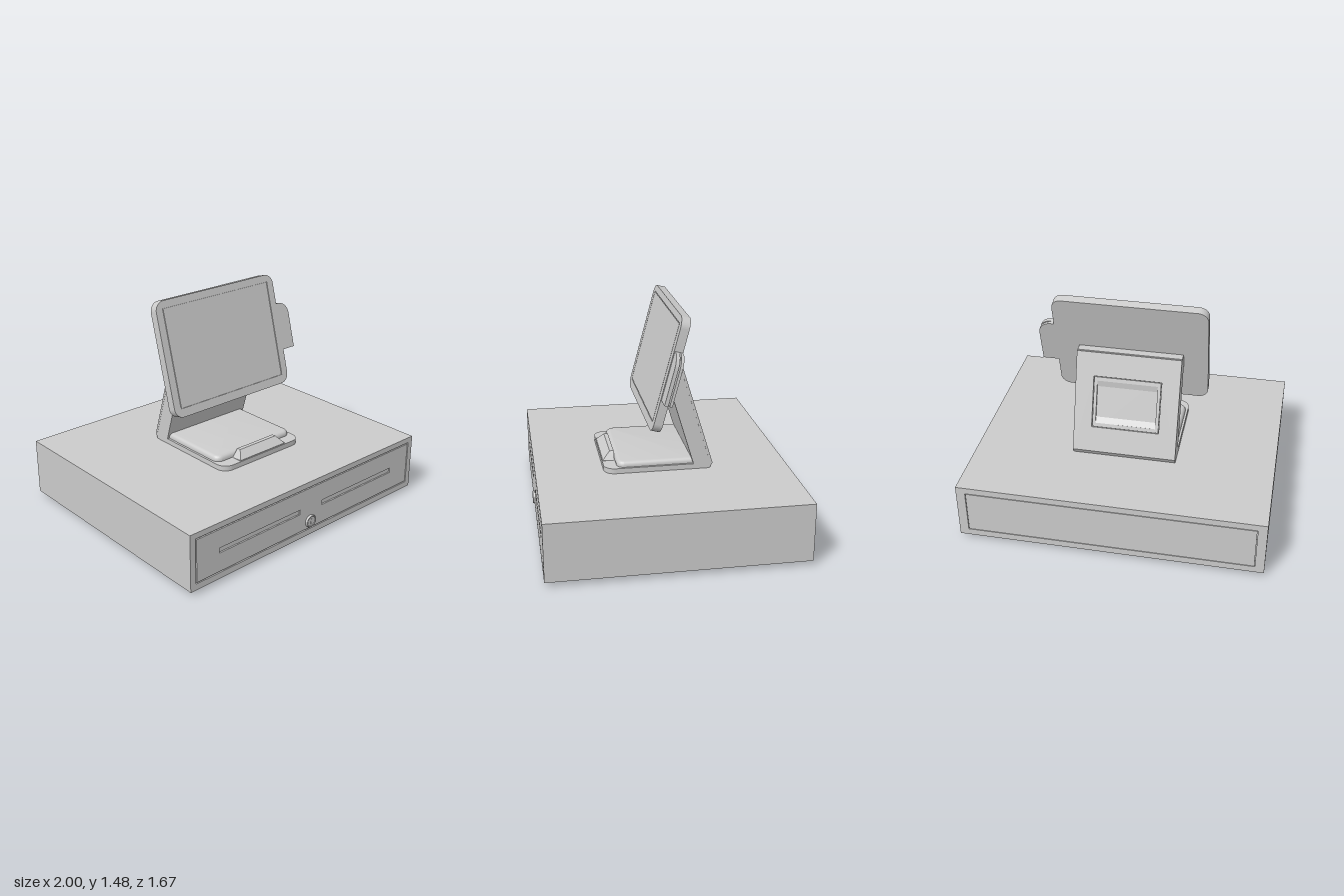
import * as THREE from 'three';
import { toCreasedNormals } from 'three/addons/utils/BufferGeometryUtils.js';

const grey = new THREE.MeshStandardMaterial({ color: 0xcccccc });

function add(parent, name, geometry, x = 0, y = 0, z = 0) {
  const mesh = new THREE.Mesh(geometry, grey);
  mesh.name = name;
  mesh.position.set(x, y, z);
  parent.add(mesh);
  return mesh;
}

// Rectangle outline with one radius per corner: bottom right, top right, top left, bottom left
function rect(x0, y0, x1, y1, radii = 0) {
  const [br, tr, tl, bl] = Array.isArray(radii) ? radii : [radii, radii, radii, radii];
  const s = new THREE.Shape();
  s.moveTo(x0 + bl, y0);
  s.lineTo(x1 - br, y0);
  if (br) s.absarc(x1 - br, y0 + br, br, -Math.PI / 2, 0);
  s.lineTo(x1, y1 - tr);
  if (tr) s.absarc(x1 - tr, y1 - tr, tr, 0, Math.PI / 2);
  s.lineTo(x0 + tl, y1);
  if (tl) s.absarc(x0 + tl, y1 - tl, tl, Math.PI / 2, Math.PI);
  s.lineTo(x0, y0 + bl);
  if (bl) s.absarc(x0 + bl, y0 + bl, bl, Math.PI, Math.PI * 1.5);
  return s;
}

function slab(shape, depth, holes = [], bevel = 0) {
  shape.holes.push(...holes);
  const g = new THREE.ExtrudeGeometry(shape, {
    depth: depth - bevel, curveSegments: 10, bevelEnabled: bevel > 0,
    bevelSize: bevel, bevelThickness: bevel, bevelOffset: -bevel, bevelSegments: 4,
  });
  return toCreasedNormals(g, 0.6);
}

// Side profile given as [z, y] points, extruded across x
function sideProfile(points, width) {
  const s = new THREE.Shape(points.map(([z, y]) => new THREE.Vector2(-z, y)));
  const g = new THREE.ExtrudeGeometry(s, { depth: width, bevelEnabled: false });
  return g.translate(0, 0, -width / 2).rotateY(Math.PI / 2);
}

function buildDrawer(root) {
  const drawer = new THREE.Group();
  drawer.name = 'cashDrawer';
  root.add(drawer);
  const d = 0.01;
  add(drawer, 'drawerBody', new THREE.BoxGeometry(2, 0.385, 1.64), 0, 0.2225, -0.005);

  // Front frame, drawer face and the two cheque slots
  add(drawer, 'frontFrame', slab(rect(-1, 0.03, 1, 0.415), d, [rect(-0.96, 0.072, 0.96, 0.377)]), 0, 0, 0.815);
  const slots = [-1, 1].map(s => rect(s * 0.4375 - 0.338, 0.208, s * 0.4375 + 0.338, 0.242));
  add(drawer, 'drawerFace', slab(rect(-0.952, 0.08, 0.952, 0.369), d, slots), 0, 0, 0.815);
  // Back frame and panel
  add(drawer, 'backFrame', slab(rect(-1, 0.03, 1, 0.415), d, [rect(-0.94, 0.075, 0.94, 0.372)]), 0, 0, -0.835);
  add(drawer, 'backPanel', slab(rect(-0.936, 0.079, 0.936, 0.368), d), 0, 0, -0.835);

  // Lock with a raised ring and a key bar
  const lock = new THREE.Group();
  lock.name = 'lock';
  lock.position.set(-0.005, 0.13, 0.825);
  drawer.add(lock);
  add(lock, 'lockBarrel', new THREE.CylinderGeometry(0.034, 0.036, 0.012, 28).rotateX(Math.PI / 2), 0, 0, 0.004);
  add(lock, 'lockRing', new THREE.LatheGeometry([
    [0.043, -0.002], [0.043, 0.01], [0.04, 0.014], [0.035, 0.014], [0.035, -0.002],
  ].map(p => new THREE.Vector2(...p)), 28).rotateX(Math.PI / 2));
  add(lock, 'keyBar', new THREE.BoxGeometry(0.008, 0.036, 0.005), 0, 0, 0.011);

  // Tapered feet
  for (const x of [-0.86, 0.84]) for (const z of [0.67, -0.68]) {
    add(drawer, 'foot', new THREE.CylinderGeometry(0.04, 0.028, 0.032, 16), x, 0.016, z);
  }
}

function buildStand(root) {
  const stand = new THREE.Group();
  stand.name = 'stand';
  root.add(stand);

  // Base plate, rounded at the front, with a soft-edged pad on top
  const base = slab(rect(-0.345, -0.38, 0.345, 0.3, [0.075, 0, 0, 0.075]), 0.035);
  add(stand, 'basePlate', base.rotateX(-Math.PI / 2), 0, 0.415, 0);
  const pad = slab(rect(-0.33, -0.295, 0.33, 0.25, [0.05, 0, 0, 0.05]), 0.045, [], 0.026);
  add(stand, 'basePad', pad.rotateX(-Math.PI / 2), 0, 0.441, 0);

  // Wedge at the front of the base, narrowing towards its top
  const wedge = sideProfile([[0.375, 0.449], [0.375, 0.455], [0.325, 0.503], [0.298, 0.503], [0.298, 0.449]], 0.4);
  const p = wedge.attributes.position;
  for (let i = 0; i < p.count; i++) {
    p.setX(i, p.getX(i) * (1 - 0.2 * Math.max(0, p.getY(i) - 0.455) / 0.048));
  }
  wedge.computeVertexNormals();
  add(stand, 'frontWedge', wedge);

  // Leaning column; its back skin holds a shallow recess
  const t = 0.015;
  add(stand, 'column', sideProfile([
    [-0.315, 0.415], [-0.21, 0.44], [-0.035, 1.02], [-0.062, 1.1],
    [-0.119, 1.1], [-0.319, 0.45], [-0.335, 0.45],
  ], 0.69));
  const back = new THREE.Group();
  back.name = 'columnBack';
  back.position.set(0, 0.45, -0.335);
  back.rotation.x = Math.atan2(0.2, 0.65);
  stand.add(back);
  add(back, 'backSkin', slab(rect(-0.345, 0, 0.345, 0.68), t, [rect(-0.225, 0.17, 0.225, 0.52)]));
  // Sloped ends and floor of the recess
  add(back, 'recessFloor', slab(rect(-0.221, 0.174, 0.221, 0.516), t - 0.001, [rect(-0.2, 0.2, 0.2, 0.49)]), 0, 0, 0.001);
  for (const s of [-1, 1]) {
    const ramp = sideProfile([[0.001, s * 0.147], [t, s * 0.147], [t, s * 0.105]].sort((a, b) => s * (a[0] - b[0])), 0.4);
    ramp.computeVertexNormals();
    add(back, 'recessRamp', ramp, 0, 0.345, 0).material = new THREE.MeshStandardMaterial({ color: 0xcccccc, side: THREE.DoubleSide });
  }
}

function buildScreen(root) {
  const screen = new THREE.Group();
  screen.name = 'screen';
  screen.position.set(0, 1.102, -0.027);
  screen.rotation.x = -0.26;
  root.add(screen);

  // Housing, bezel and inset display
  const outline = () => rect(-0.505, -0.38, 0.503, 0.38, 0.068);
  add(screen, 'housing', slab(outline(), 0.052), 0, 0, -0.029);
  add(screen, 'bezel', slab(outline(), 0.006, [rect(-0.454, -0.322, 0.45, 0.335)]), 0, 0, 0.023);
  add(screen, 'display', slab(rect(-0.449, -0.317, 0.445, 0.33), 0.006), 0, 0, 0.023);

  // Card reader: two plates around a swipe slot
  const reader = new THREE.Group();
  reader.name = 'cardReader';
  screen.add(reader);
  const plate = (x1, r) => rect(0.48, -0.155, x1, 0.168, [0, r, 0, 0]);
  add(reader, 'readerFrontPlate', slab(plate(0.61, 0.085), 0.024), 0, 0, 0);
  add(reader, 'readerBackPlate', slab(plate(0.61, 0.085), 0.018), 0, 0, -0.027);
  add(reader, 'readerCore', slab(plate(0.56, 0.05), 0.03), 0, 0, -0.02);
}

export function createModel() {
  const root = new THREE.Group();
  root.name = 'cashRegister';
  buildDrawer(root);
  buildStand(root);
  buildScreen(root);
  return root;
}
